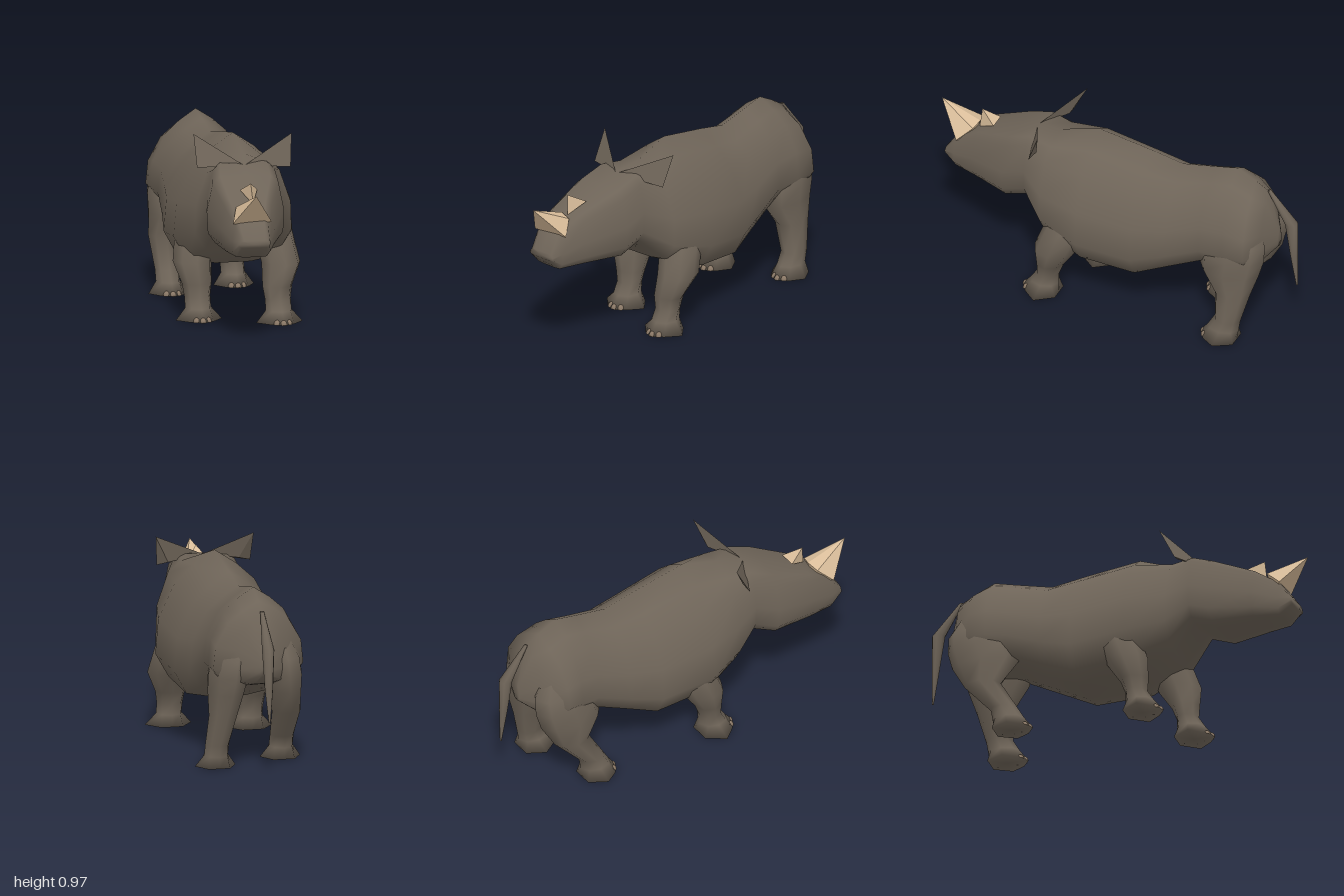
import * as THREE from 'three';
import { ConvexGeometry } from 'three/addons/geometries/ConvexGeometry.js';

const V = (x, y, z) => new THREE.Vector3(x, y, z);

// Closed smooth skin through rings of equal point count, with end caps.
function loft(rings) {
  const n = rings[0].length, pts = rings.flat(), idx = [];
  for (let r = 0; r < rings.length - 1; r++) {
    for (let i = 0; i < n; i++) {
      const a = r * n + i, b = r * n + (i + 1) % n;
      idx.push(a, b, a + n, b, b + n, a + n);
    }
  }
  const cap = (start, flip) => {
    const c = V(0, 0, 0);
    for (let i = 0; i < n; i++) c.add(pts[start + i]);
    const k = pts.push(c.divideScalar(n)) - 1;
    for (let i = 0; i < n; i++) {
      const a = start + i, b = start + (i + 1) % n;
      idx.push(...(flip ? [k, b, a] : [k, a, b]));
    }
  };
  cap(0, true);
  cap((rings.length - 1) * n, false);
  // Turn the skin outward if its volume is negative
  let vol = 0;
  for (let i = 0; i < idx.length; i += 3) {
    vol += pts[idx[i]].dot(V(0, 0, 0).crossVectors(pts[idx[i + 1]], pts[idx[i + 2]]));
  }
  if (vol < 0) idx.reverse();
  const g = new THREE.BufferGeometry().setFromPoints(pts);
  g.setIndex(idx);
  g.computeVertexNormals();
  return g;
}

// Horizontal eight-sided ring between a back and a front z
function ring(y, x, back, front, rx) {
  return Array.from({ length: 8 }, (_, i) => {
    const a = i * Math.PI / 4;
    return V(x + rx * Math.sin(a), y, (back + front) / 2 + (front - back) / 2 * Math.cos(a));
  });
}

// Foot outline on the ground: splayed wide behind the toe
function sole(x, heel, toe, spread) {
  const wide = toe - 0.11;
  return [[0, toe], [0.06, toe - 0.04], [spread, wide], [0.055, heel], [0, heel],
    [-0.055, heel], [-spread, wide], [-0.06, toe - 0.04]].map(([dx, z]) => V(x + dx, 0, z));
}

export function createModel() {
  const group = new THREE.Group();
  const material = (name, color) => {
    const m = new THREE.MeshStandardMaterial({ color });
    m.name = name;
    return m;
  };
  const hide = material('hide', 0x6e6458);
  const hornTan = material('horn', 0xd9bd9a);
  const nail = material('toenail', 0x8a7866);
  const add = (name, geometry, mat, parent = group) => {
    const m = new THREE.Mesh(geometry, mat);
    m.name = name;
    parent.add(m);
    return m;
  };

  // Half cross-sections, as fractions of half width and height
  const trunk = [[0, 1], [0.36, 0.89], [0.67, 0.76], [0.95, 0.49], [1, 0.22], [0.78, 0.04], [0.3, 0], [0, 0]];
  const skull = [[0, 1], [0.65, 1], [0.85, 0.9], [1, 0.48], [0.97, 0.17], [0.78, 0.02], [0.4, 0], [0, 0]];
  // z, centre x, top, bottom, half width, blend towards the skull section, skew of z along x
  const sections = [
    [0.94, -0.105, 0.55, 0.515, 0.08, 1, 0.1],
    [0.88, -0.105, 0.635, 0.455, 0.098, 1, 0.12],
    [0.75, -0.09, 0.715, 0.455, 0.138, 1, 0.12],
    [0.54, -0.05, 0.80, 0.455, 0.195, 1, 0.12],
    [0.42, -0.03, 0.845, 0.50, 0.185, 1, 0.1],
    [0.30, 0, 0.87, 0.37, 0.25, 0.4, 0.05],
    [0.09, 0, 0.935, 0.27, 0.308, 0, 0],
    [-0.20, 0, 0.885, 0.245, 0.285, 0, 0],
    [-0.37, 0, 0.85, 0.32, 0.25, 0, 0],
    [-0.55, 0, 0.885, 0.40, 0.225, 0, 0],
    [-0.67, 0, 0.91, 0.41, 0.237, 0, -0.06],
    [-0.77, 0, 0.86, 0.43, 0.242, 0, -0.13],
    [-0.845, 0, 0.815, 0.45, 0.14, 0, -0.08],
    [-0.90, 0, 0.60, 0.50, 0.025, 0, 0],
  ];
  const bodyRings = sections.map(([z, cx, top, bottom, w, k, skew]) => {
    const half = trunk.map(([x, y], i) => [
      THREE.MathUtils.lerp(x, skull[i][0], k) * w,
      THREE.MathUtils.lerp(y, skull[i][1], k) * (top - bottom) + bottom,
    ]);
    const other = half.slice(1, -1).reverse().map(([x, y]) => [-x, y]);
    return [...half, ...other].map(([x, y]) => V(cx + x, y, z + skew * x));
  });
  add('bodyAndHead', loft(bodyRings), hide);

  // Legs with splayed feet and a row of toenails
  function leg(name, x, toe, spread, rings) {
    const g = new THREE.Group();
    g.name = name;
    group.add(g);
    add('limb', loft([...rings.map((r) => ring(...r)), sole(x, toe - 0.2, toe, spread)]), hide, g);
    for (const i of [-1, 0, 1]) {
      const t = add('toenail', new THREE.SphereGeometry(1, 8, 6, 0, Math.PI * 2, 0, Math.PI / 2), nail, g);
      t.scale.set(0.018, 0.024, 0.02);
      t.position.set(x + i * 0.03, 0, toe - 0.022 - Math.abs(i) * 0.014);
    }
  }
  for (const [name, s, x, toe] of [['leftFrontLeg', 1, 0.182, 0.43], ['rightFrontLeg', -1, -0.195, 0.27]]) {
    leg(name, x, toe, 0.12, [
      [0.60, s * 0.15, toe - 0.32, toe - 0.20, 0.06],
      [0.43, s * 0.185, toe - 0.36, toe - 0.13, 0.10],
      [0.29, s * 0.21, toe - 0.30, toe - 0.08, 0.10],
      [0.18, x, toe - 0.225, toe - 0.08, 0.077],
      [0.115, x, toe - 0.2, toe - 0.085, 0.067],
      [0.06, x, toe - 0.2, toe - 0.05, 0.067],
    ]);
  }
  // Hind legs grow out of the hips, staggered front to back
  for (const [name, s, x, toe, shift] of [['leftHindLeg', 1, 0.195, -0.55, 0], ['rightHindLeg', -1, -0.175, -0.42, 0.03]]) {
    leg(name, x, toe, 0.105, [
      [0.70, s * 0.10, -0.80, -0.64, 0.06],
      [0.57, s * 0.13, -0.875, -0.57, 0.095],
      [0.48, s * 0.14, -0.875, -0.53, 0.102],
      [0.39, s * 0.15, -0.85, -0.53 + shift, 0.092],
      [0.27, s * 0.168, -0.81 + shift, -0.62 + shift, 0.074],
      [0.12, x, toe - 0.22, toe - 0.08, 0.062],
      [0.06, x, toe - 0.21, toe - 0.045, 0.062],
    ]);
  }

  // Ears: thin pointed wedges meeting at the brow
  const brow = V(-0.03, 0.835, 0.44);
  add('rightEar', new ConvexGeometry([brow, V(-0.25, 0.815, 0.34), V(-0.248, 0.972, 0.26), V(-0.19, 0.83, 0.335)]), hide);
  add('leftEar', new ConvexGeometry([brow, V(0.225, 0.805, 0.38), V(0.245, 0.965, 0.32), V(0.17, 0.82, 0.36)]), hide);

  // Horns: forward-leaning pyramids bedded in the snout
  add('frontHorn', new ConvexGeometry([V(-0.11, 0.79, 1.0), V(-0.2, 0.63, 0.875), V(0, 0.632, 0.875),
    V(-0.165, 0.70, 0.80), V(-0.04, 0.70, 0.80), V(-0.1, 0.715, 0.785), V(-0.1, 0.6, 0.82)]), hornTan);
  add('rearHorn', new ConvexGeometry([V(-0.08, 0.808, 0.765), V(-0.115, 0.76, 0.68),
    V(-0.025, 0.76, 0.68), V(-0.07, 0.705, 0.775)]), hornTan);

  // Tail hanging away from the rump
  add('tail', loft([
    ring(0.82, 0, -0.855, -0.835, 0.01),
    ring(0.65, 0, -1.0, -0.93, 0.032),
    ring(0.46, 0, -1.0, -0.96, 0.022),
    ring(0.28, 0, -1.0, -0.99, 0.005),
  ]), hide);

  return group;
}
